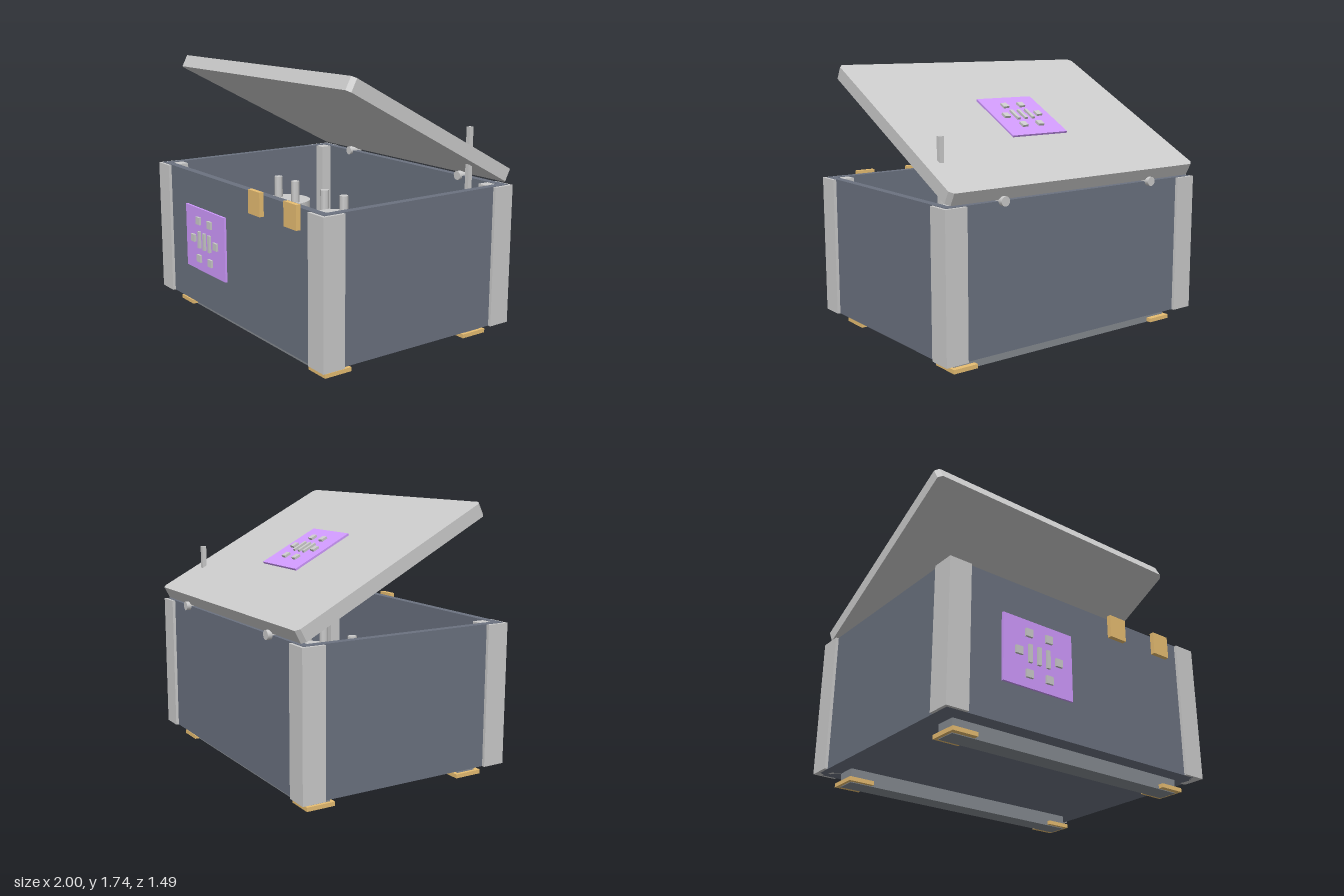
import * as THREE from 'three';

const mat = (color) => new THREE.MeshStandardMaterial({ color });
const GREY = mat(0xcccccc), SLATE = mat(0x6b7280), GOLD = mat(0xe8be72);
const PURPLE = mat(0xd09aff), GREEN = mat(0x4fae8c), RAIL = mat(0x858a90);

function add(parent, name, geometry, material, x, y, z) {
  const mesh = new THREE.Mesh(geometry, material);
  mesh.name = name;
  mesh.position.set(x, y, z);
  parent.add(mesh);
  return mesh;
}

// Box given by its minimum and maximum on each axis
function box(parent, name, material, [x0, x1], [y0, y1], [z0, z1]) {
  return add(parent, name, new THREE.BoxGeometry(x1 - x0, y1 - y0, z1 - z0), material,
    (x0 + x1) / 2, (y0 + y1) / 2, (z0 + z1) / 2);
}

function cylinder(parent, name, material, radius, height, x, y, z, sides = 32) {
  return add(parent, name, new THREE.CylinderGeometry(radius, radius, height, sides), material, x, y, z);
}

// Plate with raised studs and bars, lying in xy and facing +z
function makePanel(name, width, height, scale) {
  const panel = new THREE.Group();
  panel.name = name;
  box(panel, 'panelPlate', PURPLE, [-width / 2, width / 2], [-height / 2, height / 2], [-0.004, 0.013]);
  const studs = [[-0.075, 0.13], [0.075, 0.13], [-0.15, 0], [0.15, 0], [-0.075, -0.13], [0.075, -0.13]];
  const stud = new THREE.BoxGeometry(0.05 * scale, 0.05 * scale, 0.026);
  const bar = new THREE.BoxGeometry(0.025 * scale, 0.115 * scale, 0.026);
  for (const [x, y] of studs) add(panel, 'panelStud', stud, GREY, x * scale, y * scale, 0.015);
  for (const x of [-0.068, 0, 0.068]) add(panel, 'panelBar', bar, GREY, x * scale, 0, 0.015);
  return panel;
}

// Tilted lid with chamfered corners
function makeLid() {
  const lid = new THREE.Group();
  lid.name = 'lid';
  const w = 0.975, d = 0.71, c = 0.025, t = 0.085;
  const outline = new THREE.Shape([
    [-w + c, -d], [w - c, -d], [w, -d + c], [w, d - c],
    [w - c, d], [-w + c, d], [-w, d - c], [-w, -d + c],
  ].map(([x, y]) => new THREE.Vector2(x, y)));
  const slab = new THREE.ExtrudeGeometry(outline, { depth: t, bevelEnabled: false });
  slab.translate(0, 0, -t / 2).rotateX(-Math.PI / 2);
  add(lid, 'lidSlab', slab, GREY, 0, 0, 0);
  const panel = makePanel('lidPanel', 0.44, 0.44, 0.87);
  panel.rotation.x = -Math.PI / 2;
  panel.position.set(0, t / 2, -0.015);
  lid.add(panel);
  lid.position.set(0, 1.376, -0.1);
  lid.rotation.x = -0.482;
  return lid;
}

export function createModel() {
  const model = new THREE.Group();
  model.name = 'openCrate';

  // Open box: floor and four walls
  box(model, 'floor', SLATE, [-0.98, 0.98], [0.09, 0.14], [-0.71, 0.71]);
  for (const s of [-1, 1]) {
    const wall = new THREE.BoxGeometry(1.96, 0.91, 0.05);
    add(model, s > 0 ? 'frontWall' : 'backWall', wall, SLATE, 0, 0.545, s * 0.685);
    const side = new THREE.BoxGeometry(0.05, 0.91, 1.32);
    add(model, s > 0 ? 'leftWall' : 'rightWall', side, SLATE, s * 0.955, 0.545, 0);
  }

  // Corner posts, skids and foot pads
  for (const z of [-1, 1]) {
    box(model, 'skid', RAIL, [-0.87, 0.87], [0, 0.09], [z * 0.54 - 0.065, z * 0.54 + 0.065]);
    for (const x of [-1, 1]) {
      add(model, 'cornerPost', new THREE.BoxGeometry(0.15, 0.907, 0.15), GREY, x * 0.925, 0.5435, z * 0.655);
      add(model, 'footPad', new THREE.BoxGeometry(0.17, 0.026, 0.19), GOLD, x * 0.805, 0.017, z * 0.545);
    }
  }

  // Front latches and studded panel
  for (const x of [0.295, 0.685]) {
    box(model, 'latch', GOLD, [x - 0.065, x + 0.065], [0.87, 1.02], [0.71, 0.74]);
  }
  const frontPanel = makePanel('frontPanel', 0.52, 0.43, 1);
  frontPanel.position.set(-0.358, 0.555, 0.712);
  model.add(frontPanel);

  // Lid, hinge pins and upright rod
  model.add(makeLid());
  for (const x of [-0.59, 0.59]) {
    cylinder(model, 'hingePin', GREY, 0.03, 0.1, x, 1, -0.69, 16).rotation.x = Math.PI / 2;
  }
  box(model, 'uprightRod', GREY, [0.845, 0.875], [0.6, 1.37], [-0.495, -0.465]);

  // Canisters with twin terminals, each on a board
  for (const x of [-0.47, 0.1]) {
    cylinder(model, 'canister', GREY, 0.165, 0.59, x, 0.435, 0);
    box(model, 'board', GREEN, [x - 0.18, x + 0.18], [0.46, 0.49], [-0.32, 0.32]);
    for (const s of [-1, 1]) cylinder(model, 'terminal', GREY, 0.03, 0.15, x + s * 0.108, 0.805, 0, 8);
  }
  return model;
}
